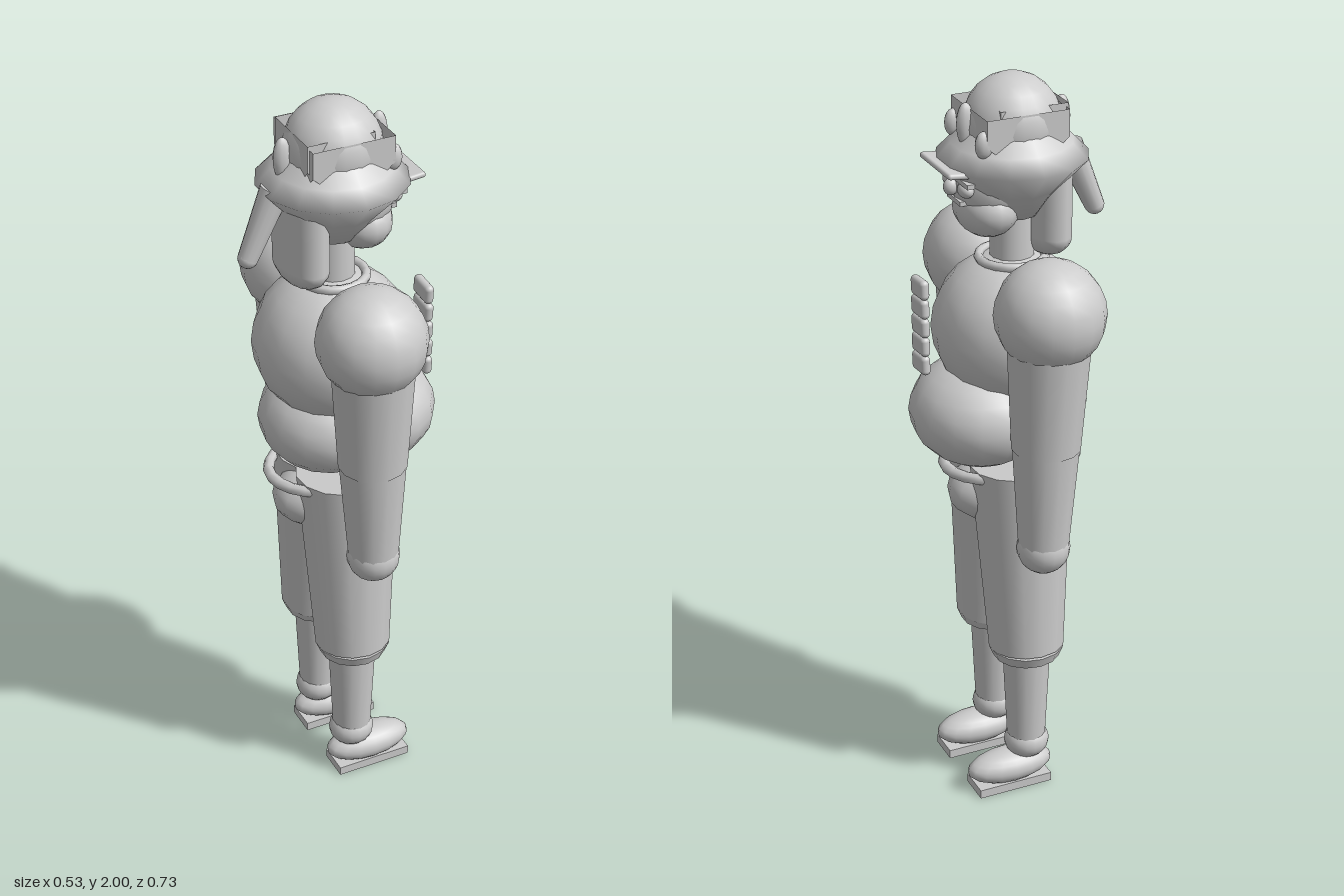
import * as THREE from 'three';
import { RoundedBoxGeometry } from 'three/addons/geometries/RoundedBoxGeometry.js';

export function createModel() {
  const root = new THREE.Group();
  const grey = new THREE.MeshStandardMaterial({ color: 0xcccccc });
  grey.name = 'grey';
  const greyCard = new THREE.MeshStandardMaterial({ color: 0xcccccc, side: THREE.DoubleSide });
  greyCard.name = 'grey two-sided';

  const add = (name, geo, x = 0, y = 0, z = 0, mat = grey) => {
    const m = new THREE.Mesh(geo, mat);
    m.name = name;
    m.position.set(x, y, z);
    root.add(m);
    return m;
  };
  // ellipsoid given by centre and half sizes
  const ball = (name, x, y, z, rx, ry = rx, rz = rx, seg = 16) => {
    const m = add(name, new THREE.SphereGeometry(1, seg, 12), x, y, z);
    m.scale.set(rx, ry, rz);
    return m;
  };
  // tapered limb between two points
  const limb = (name, a, b, ra, rb, seg = 14) => {
    const A = new THREE.Vector3(...a), B = new THREE.Vector3(...b);
    const d = A.clone().sub(B);
    const m = add(name, new THREE.CylinderGeometry(ra, rb, d.length(), seg));
    m.position.copy(A).add(B).multiplyScalar(0.5);
    m.quaternion.setFromUnitVectors(new THREE.Vector3(0, 1, 0), d.normalize());
    return m;
  };
  const box = (name, w, h, d, x, y, z) => add(name, new THREE.BoxGeometry(w, h, d), x, y, z);
  const lathe = (name, pts, x, z) =>
    add(name, new THREE.LatheGeometry(pts.map(p => new THREE.Vector2(...p)), 14), x, 0, z);

  // torso
  ball('chest', -0.01, 1.33, 0, 0.208, 0.205, 0.208);
  ball('belly', 0.08, 1.11, 0, 0.185, 0.145, 0.19);
  ball('lowerBack', -0.02, 1.11, 0, 0.187, 0.145, 0.185);
  ball('hips', -0.005, 0.875, 0, 0.175, 0.1, 0.112);
  const belt = add('belt', new THREE.TorusGeometry(1, 0.085, 8, 24), -0.005, 0.955, 0);
  belt.rotation.x = Math.PI / 2;
  belt.scale.set(0.18, 0.14, 0.18);
  const collar = add('collar', new THREE.TorusGeometry(0.085, 0.012, 8, 18), -0.01, 1.52, 0);
  collar.rotation.x = Math.PI / 2;
  limb('neck', [-0.01, 1.66, 0], [-0.01, 1.48, 0], 0.055, 0.058);

  // braided cord on the chest
  for (let i = 0; i < 5; i++) {
    const b = add('cordSegment', new RoundedBoxGeometry(0.025, 0.052, 0.078, 3, 0.012), 0.217, 1.24 + i * 0.052, 0.06);
    b.rotation.x = 0.08;
  }

  for (const s of [1, -1]) {
    // arms
    ball('shoulder', -0.012, 1.445, s * 0.222, 0.142);
    limb('upperArm', [-0.01, 1.44, s * 0.225], [-0.005, 1.08, s * 0.218], 0.112, 0.09);
    limb('forearm', [-0.005, 1.085, s * 0.218], [0, 0.79, s * 0.218], 0.088, 0.066);
    ball('hand', 0, 0.79, s * 0.218, 0.07);
    // legs
    limb('trouserLeg', [-0.004, 0.97, s * 0.07], [-0.004, 0.44, s * 0.107], 0.135, 0.102);
    limb('trouserHem', [-0.004, 0.44, s * 0.107], [-0.004, 0.41, s * 0.107], 0.102, 0.09);
    limb('shin', [-0.005, 0.43, s * 0.106], [-0.005, 0.15, s * 0.106], 0.066, 0.053);
    ball('ankle', -0.006, 0.13, s * 0.106, 0.062, 0.052, 0.06);
    ball('shoe', 0.045, 0.06, s * 0.106, 0.123, 0.047, 0.058);
    box('sole', 0.212, 0.025, 0.09, 0.045, 0.0125, s * 0.106);
  }

  // head and face
  lathe('head', [[0, 1.62], [0.07, 1.64], [0.112, 1.7], [0.15, 1.745]], -0.01, 0);
  ball('face', 0.045, 1.73, 0, 0.105, 0.1, 0.1);
  ball('jaw', 0.062, 1.665, 0, 0.08, 0.075, 0.103);
  ball('nose', 0.155, 1.73, 0, 0.02, 0.022, 0.017);
  box('mouth', 0.02, 0.012, 0.08, 0.138, 1.695, 0);
  for (const s of [1, -1]) {
    ball('eye', 0.135, 1.733, s * 0.045, 0.02, 0.02, 0.028);
    box('eyebrow', 0.02, 0.012, 0.075, 0.14, 1.756, s * 0.052);
  }

  // hat
  lathe('hatBrim', [[0.12, 1.71], [0.194, 1.79], [0.155, 1.83], [0.12, 1.865]], -0.01, 0).material = greyCard;
  ball('hatDome', -0.01, 1.875, 0, 0.125, 0.125, 0.121, 18);
  add('visor', new RoundedBoxGeometry(0.06, 0.015, 0.185, 2, 0.007), 0.17, 1.787, 0).rotation.z = 0.1;

  // jagged fringe cards standing in a square round the dome
  const card = width => {
    const n = 6, shape = new THREE.Shape();
    shape.moveTo(-width / 2, 0.06);
    for (let i = 0; i <= n; i++) shape.lineTo(-width / 2 + width * i / n, i % 2 ? -0.04 : -0.01);
    shape.lineTo(width / 2, 0.06);
    return new THREE.ShapeGeometry(shape);
  };
  for (const [cx, h, y] of [[-0.005, 0.11, 1.865], [-0.03, 0.09, 1.875]]) {
    for (let k = 0; k < 4; k++) {
      const a = k * Math.PI / 2;
      add('fringeCard', card(h * 2), cx + Math.sin(a) * h, y, Math.cos(a) * h, greyCard).rotation.y = a;
    }
  }
  // hat studs
  for (const [x, y, z] of [[0.115, 1.885, 0], [-0.145, 1.87, 0], [0.107, 1.86, 0.093], [0.107, 1.86, -0.093]])
    ball('hatStud', x, y, z, 0.024, z ? 0.035 : 0.055, 0.018, 10);

  // hair at the back
  const hair = add('backHair', new THREE.CapsuleGeometry(0.062, 0.16, 6, 14), -0.098, 1.66, 0);
  hair.scale.z = 1.75;
  limb('ponytail', [-0.165, 1.79, 0], [-0.24, 1.62, 0], 0.038, 0.026);
  ball('ponytailTip', -0.24, 1.62, 0, 0.026);

  return root;
}
